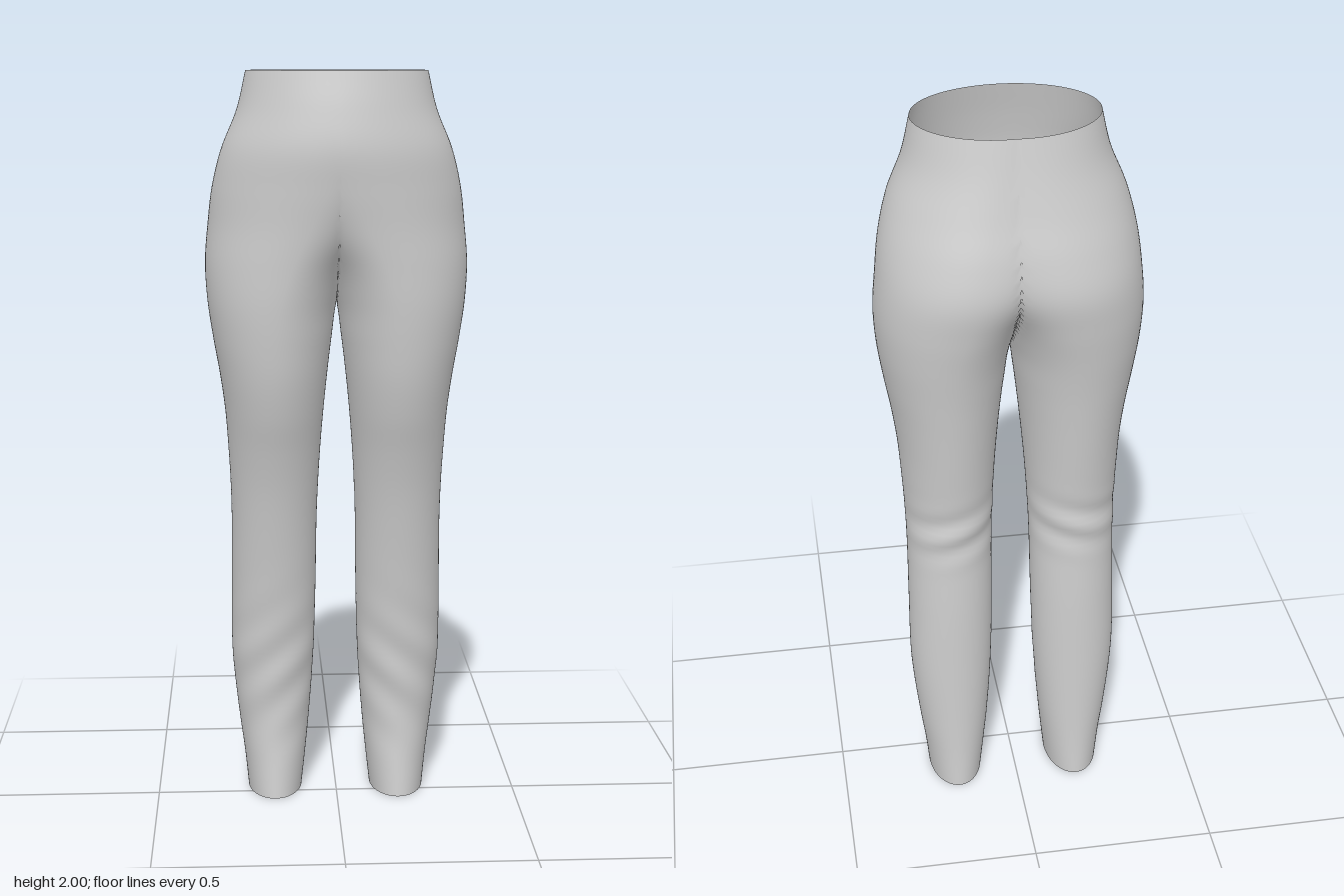
import * as THREE from 'three';
import { mergeGeometries, mergeVertices } from 'three/addons/utils/BufferGeometryUtils.js';

// Leg section per height: y, front z, back z, outer x, inner x, front crest x, back crest x.
// Where inner x is negative, the two legs fuse into the hips.
const SECTIONS = [
  [0.00, 0.06, -0.195, 0.247, 0.097, 0.172, 0.172],
  [0.10, 0.047, -0.188, 0.257, 0.086, 0.172, 0.172],
  [0.20, 0.037, -0.183, 0.270, 0.076, 0.173, 0.173],
  [0.40, 0.045, -0.175, 0.289, 0.062, 0.175, 0.175],
  [0.60, 0.065, -0.167, 0.289, 0.056, 0.173, 0.173],
  [0.80, 0.093, -0.156, 0.287, 0.053, 0.171, 0.171],
  [0.90, 0.111, -0.154, 0.289, 0.049, 0.169, 0.169],
  [1.00, 0.135, -0.163, 0.294, 0.043, 0.168, 0.168],
  [1.10, 0.163, -0.173, 0.301, 0.035, 0.167, 0.168],
  [1.20, 0.184, -0.183, 0.314, 0.025, 0.166, 0.168],
  [1.30, 0.196, -0.194, 0.331, 0.013, 0.163, 0.167],
  [1.40, 0.204, -0.208, 0.345, -0.002, 0.152, 0.160],
  [1.50, 0.210, -0.224, 0.350, -0.040, 0.122, 0.138],
  [1.60, 0.219, -0.235, 0.342, -0.130, 0.075, 0.108],
  [1.70, 0.231, -0.217, 0.329, -0.220, 0.030, 0.082],
  [1.80, 0.239, -0.187, 0.303, -0.290, 0.004, 0.058],
  [1.90, 0.226, -0.160, 0.262, -0.262, 0.000, 0.035],
  [2.00, 0.205, -0.136, 0.238, -0.238, 0.000, 0.020],
];
const ROWS = 110, SIDES = 96;

const profile = new THREE.CubicInterpolant(
  SECTIONS.map((s) => s[0]), SECTIONS.flatMap((s) => s.slice(1)), 6, new Float32Array(6));

const bump = (v, centre, width) => Math.exp(-(((v - centre) / width) ** 2));

// Soft cloth folds behind the knee and down the shin
function fold(y, t) {
  const knee = bump(y, 0.86, 0.07) * Math.max(0, -Math.sin(t));
  const shin = bump(y, 0.36, 0.16) * Math.max(0, Math.sin(t));
  return 0.006 * knee * Math.sin(y * 60 + 2 * Math.cos(t))
    + 0.004 * shin * Math.sin(y * 42 + 4 * Math.cos(t));
}

// One leg with its half of the hips; side is 1 for left, -1 for right
function halfGeometry(side) {
  const pos = [], index = [];
  for (let i = 0; i <= ROWS; i++) {
    const y = (2 * i) / ROWS;
    const [front, back, outer, inner, crestF, crestB] = profile.evaluate(y);
    for (let j = 0; j < SIDES; j++) {
      const t = (j / SIDES) * Math.PI * 2, c = Math.cos(t), s = Math.sin(t);
      const crest = THREE.MathUtils.lerp(crestB, crestF, (1 + s) / 2);
      const f = 1 + fold(y, t) / 0.12;
      const x = crest + (c > 0 ? outer - crest : crest - inner) * c * f;
      const z = (front + back) / 2 + ((front - back) / 2) * s * f;
      pos.push(x < 1e-5 ? 0 : side * x, y, z);
    }
  }
  const face = (a, b, c) => {
    // Leave out the part where the halves meet inside the hips
    if (![a, b, c].some((k) => pos[k * 3] !== 0)) return;
    index.push(...(side > 0 ? [a, b, c] : [a, c, b]));
  };
  for (let i = 0; i < ROWS; i++) {
    for (let j = 0; j < SIDES; j++) {
      const k = (j + 1) % SIDES;
      const a = i * SIDES + j, b = i * SIDES + k, c = a + SIDES, d = b + SIDES;
      face(a, c, b);
      face(b, c, d);
    }
  }
  const geometry = new THREE.BufferGeometry();
  geometry.setAttribute('position', new THREE.Float32BufferAttribute(pos, 3));
  geometry.setIndex(index);
  return geometry;
}

export function createModel() {
  const group = new THREE.Group();
  group.name = 'trousers';

  // Both halves joined along the centre seam into one smooth cloth
  const geometry = mergeVertices(mergeGeometries([halfGeometry(1), halfGeometry(-1)]), 1e-5);
  geometry.computeVertexNormals();
  const cloth = new THREE.Mesh(geometry,
    new THREE.MeshStandardMaterial({ color: 0xcccccc, side: THREE.DoubleSide }));
  cloth.name = 'trouserCloth';
  group.add(cloth);
  return group;
}
